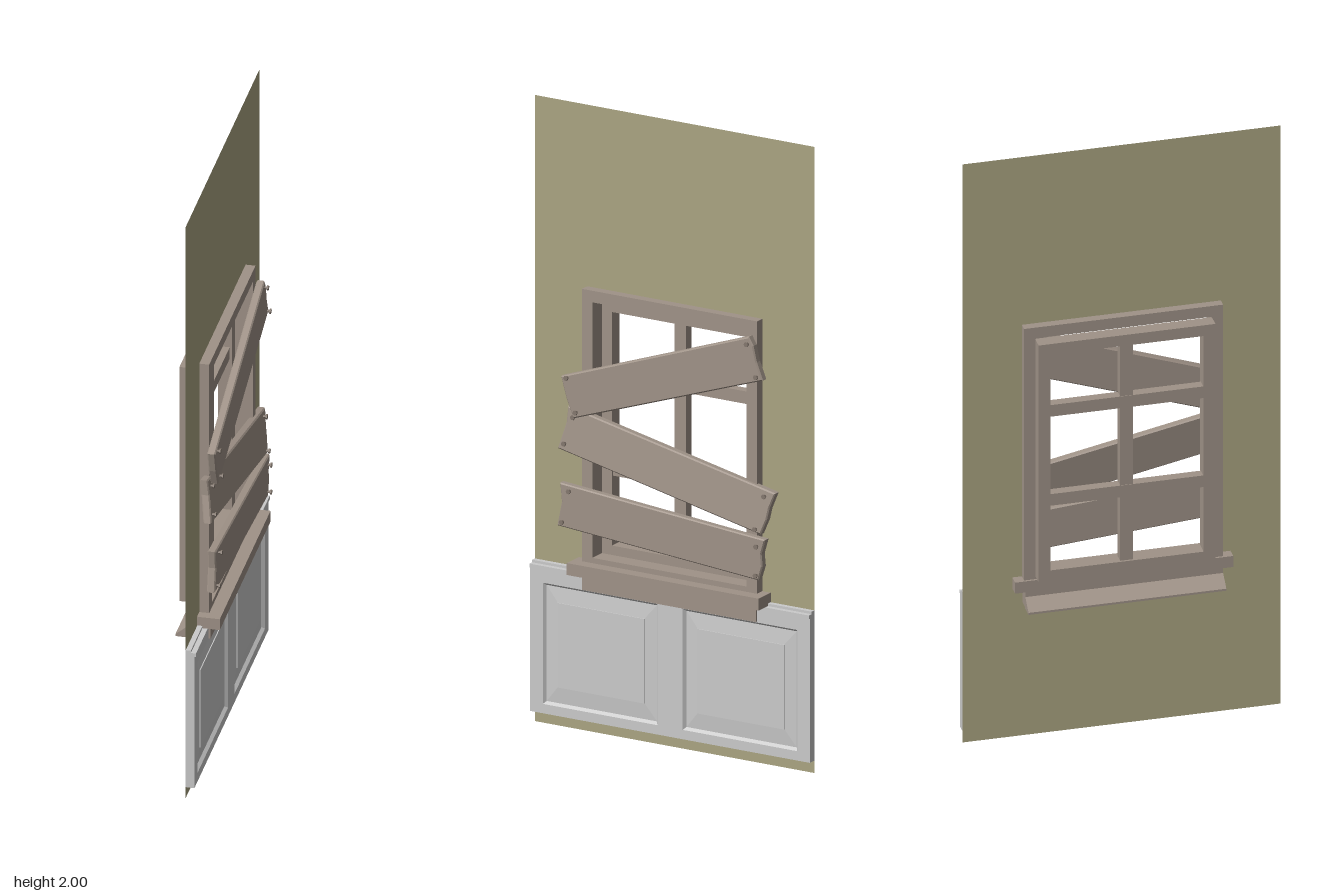
import * as THREE from 'three';

const paint = (color) => new THREE.MeshStandardMaterial({ color, side: THREE.DoubleSide, flatShading: true });

// Rectangle outline in the wall plane: u runs towards -z, v runs up
const rect = (u0, u1, v0, v1, Type = THREE.Shape) =>
  new Type([[u0, v0], [u1, v0], [u1, v1], [u0, v1]].map(([u, v]) => new THREE.Vector2(u, v)));

function ring(u0, u1, v0, v1, w, wv = w) {
  const shape = rect(u0, u1, v0, v1);
  shape.holes.push(rect(u0 + w, u1 - w, v0 + wv, v1 - wv, THREE.Path));
  return shape;
}

// Turns a wall-plane geometry so that it stands at x0 and faces +x
const toWall = (geometry, x0) => geometry.rotateY(Math.PI / 2).translate(x0, 0, 0);

const slab = (shape, x0, x1) =>
  toWall(new THREE.ExtrudeGeometry(shape, { depth: x1 - x0, bevelEnabled: false }), x0);

// Four-sided sloping band between two rectangles at different depths
function slopedBand([a0, a1, b0, b1], xa, [c0, c1, d0, d1], xc) {
  const outer = [[a0, b0], [a1, b0], [a1, b1], [a0, b1]];
  const inner = [[c0, d0], [c1, d0], [c1, d1], [c0, d1]];
  const pos = [], index = [];
  for (let i = 0; i < 4; i++) {
    pos.push(xa, outer[i][1], -outer[i][0], xc, inner[i][1], -inner[i][0]);
    const a = i * 2, b = ((i + 1) % 4) * 2;
    index.push(a, b, b + 1, a, b + 1, a + 1);
  }
  const g = new THREE.BufferGeometry();
  g.setAttribute('position', new THREE.Float32BufferAttribute(pos, 3));
  g.setIndex(index);
  g.computeVertexNormals();
  return g;
}

export function createModel() {
  const model = new THREE.Group();
  const olive = paint(0xaba582), wood = paint(0xa09388), grey = paint(0xcccccc), nailMat = paint(0x85796f);

  function add(name, geometry, material, parent = model) {
    const mesh = new THREE.Mesh(geometry, material);
    mesh.name = name;
    parent.add(mesh);
    return mesh;
  }
  const box = (name, x0, x1, y0, y1, z0, z1, material, parent) =>
    add(name, new THREE.BoxGeometry(x1 - x0, y1 - y0, z1 - z0)
      .translate((x0 + x1) / 2, (y0 + y1) / 2, (z0 + z1) / 2), material, parent);

  // Thin wall with the window opening
  const wallX = -0.005;
  const wallShape = rect(-0.5, 0.5, 0, 2);
  wallShape.holes.push(rect(-0.295, 0.295, 0.53, 1.4, THREE.Path));
  add('wall', toWall(new THREE.ShapeGeometry(wallShape), wallX), olive);

  // Two wainscot panels with a recess and a raised field
  for (const side of [-1, 1]) {
    const panel = new THREE.Group();
    panel.name = side < 0 ? 'rightWainscot' : 'leftWainscot';
    model.add(panel);
    const c = -side * 0.25;
    const span = (hw, v0, v1) => [c - hw, c + hw, v0, v1];
    const border = rect(...span(0.25, 0.04, 0.5));
    border.holes.push(rect(...span(0.205, 0.07, 0.457), THREE.Path));
    add('panelBorder', slab(border, wallX + 0.001, 0.023), grey, panel);
    add('panelRecess', slopedBand(span(0.205, 0.07, 0.457), 0.023, span(0.197, 0.078, 0.449), 0.013), grey, panel);
    add('panelSlope', slopedBand(span(0.197, 0.078, 0.449), 0.013, span(0.155, 0.13, 0.4), 0.017), grey, panel);
    add('panelField', slab(rect(...span(0.155, 0.13, 0.4)), 0.01, 0.02), grey, panel);
  }
  box('wainscotCap', wallX + 0.001, 0.028, 0.5, 0.512, -0.5, 0.5, grey);
  box('wainscotLip', wallX + 0.001, 0.012, 0.512, 0.52, -0.5, 0.5, grey);

  // Window: casing, sash and glazing bars
  const windowGroup = new THREE.Group();
  windowGroup.name = 'window';
  model.add(windowGroup);
  add('casing', slab(ring(-0.313, 0.313, 0.53, 1.42, 0.037), -0.033, 0.026), wood, windowGroup);
  add('sash', slab(ring(-0.278, 0.278, 0.56, 1.38, 0.037), -0.075, -0.03), wood, windowGroup);
  box('uprightBar', -0.068, -0.036, 0.59, 1.35, -0.02, 0.02, wood, windowGroup);
  for (const y of [0.838, 1.146])
    box('crossBar', -0.07, -0.038, y - 0.02, y + 0.02, -0.245, 0.245, wood, windowGroup);

  // Sill, apron and sloping outer ledge
  box('sill', -0.04, 0.066, 0.512, 0.55, -0.343, 0.343, wood, windowGroup);
  box('apron', -0.04, 0.03, 0.46, 0.512, -0.311, 0.311, wood, windowGroup);
  const ledge = new THREE.Shape([[-0.08, 0.455], [-0.035, 0.455], [-0.035, 0.5], [-0.08, 0.462]]
    .map(([x, y]) => new THREE.Vector2(x, y)));
  add('outerLedge', new THREE.ExtrudeGeometry(ledge, { depth: 0.622, bevelEnabled: false })
    .translate(0, 0, -0.311), wood, windowGroup);

  // Planks: outline [u, v], back depth x, lean (depth per unit height across the width), nail places
  const planks = [
    { name: 'upperPlank', x: 0.032, swing: 0, lean: 0,
      outline: [[-0.37, 1.14], [-0.35, 1.07], [-0.325, 1.012], [0.352, 1.245], [0.33, 1.30], [0.318, 1.35], [0.302, 1.377]],
      nails: [[-0.345, 1.14], [-0.312, 1.035], [0.3, 1.355], [0.333, 1.255]] },
    { name: 'middlePlank', x: 0.019, swing: 0.012, lean: -0.13,
      outline: [[-0.36, 1.04], [-0.362, 0.99], [-0.386, 0.905], [0.344, 0.752], [0.362, 0.80], [0.368, 0.835], [0.386, 0.885]],
      nails: [[-0.335, 1.01], [-0.36, 0.925], [0.352, 0.873], [0.328, 0.768]] },
    { name: 'lowerPlank', x: 0.034, swing: 0, lean: 0,
      outline: [[-0.372, 0.8], [-0.366, 0.74], [-0.382, 0.662], [0.338, 0.605], [0.352, 0.65], [0.348, 0.69], [0.362, 0.738]],
      nails: [[-0.335, 0.78], [-0.36, 0.678], [0.335, 0.715], [0.333, 0.622]] },
  ];
  for (const { name, x, swing, lean, outline, nails } of planks) {
    const group = new THREE.Group();
    group.name = name;
    model.add(group);
    // Height of the plank's middle line at a given u, used to tilt it
    const midLeft = (outline[0][1] + outline[2][1]) / 2, midRight = (outline[3][1] + outline[6][1]) / 2;
    const shift = (u, v) => swing * u + lean * (v - midLeft - (midRight - midLeft) * (u + 0.35) / 0.7);
    const bevel = 0.004;
    const shape = new THREE.Shape(outline.map(([u, v]) => new THREE.Vector2(u, v)));
    const geometry = toWall(new THREE.ExtrudeGeometry(shape, {
      depth: 0.018, bevelThickness: bevel, bevelSize: bevel, bevelOffset: -bevel, bevelSegments: 1,
    }), x + bevel);
    const p = geometry.attributes.position;
    for (let i = 0; i < p.count; i++) p.setX(i, p.getX(i) + shift(-p.getZ(i), p.getY(i)));
    geometry.computeVertexNormals();
    add('board', geometry, wood, group);
    // Nails with a shank and a flat head
    for (const [u, v] of nails) {
      const front = x + 0.026 + shift(u, v);
      add('nailShank', new THREE.CylinderGeometry(0.004, 0.004, 0.014, 6)
        .rotateZ(-Math.PI / 2).translate(front, v, -u), nailMat, group);
      add('nailHead', new THREE.CylinderGeometry(0.008, 0.008, 0.005, 6)
        .rotateZ(-Math.PI / 2).translate(front + 0.01, v, -u), nailMat, group);
    }
  }
  return model;
}
